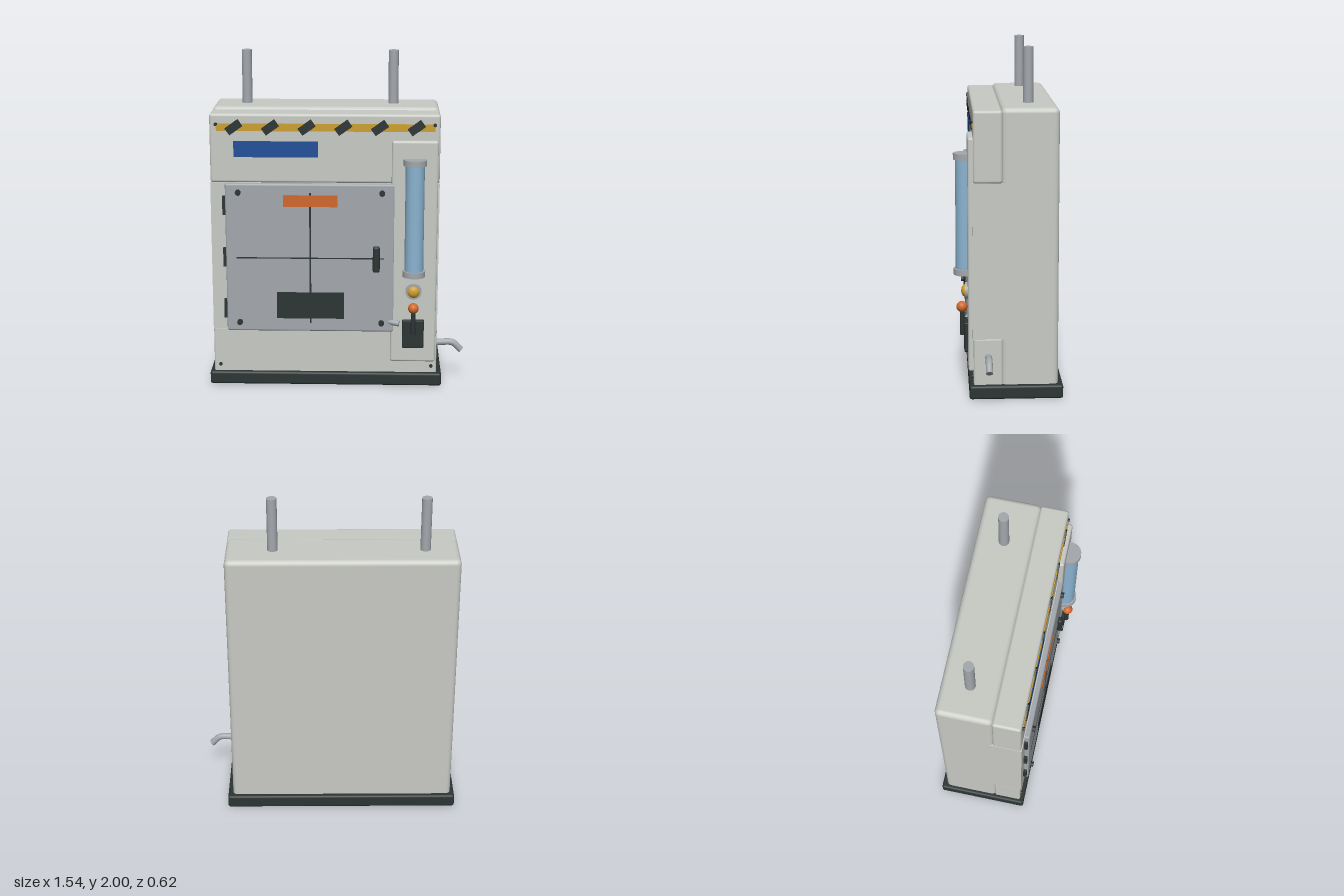
import * as THREE from 'three';
import { RoundedBoxGeometry } from 'three/addons/geometries/RoundedBoxGeometry.js';

const material = (name, color) => {
  const m = new THREE.MeshStandardMaterial({ color });
  m.name = name;
  return m;
};

export function createModel() {
  const model = new THREE.Group();
  model.name = 'boilerCabinet';

  const enamel = material('palePaint', 0xc8cac4);
  const steel = material('steel', 0xa3a8ad);
  const dark = material('darkRubber', 0x2c3534);
  const yellow = material('warningYellow', 0xcc9f30);
  const blue = material('labelBlue', 0x1f4f98);
  const orange = material('orange', 0xd0692b);
  const glass = material('gaugeBlue', 0x8ab3d0);

  const add = (name, geometry, mat, x = 0, y = 0, z = 0) => {
    const mesh = new THREE.Mesh(geometry, mat);
    mesh.name = name;
    mesh.position.set(x, y, z);
    model.add(mesh);
    return mesh;
  };
  // Box given by its limits; r > 0 rounds the edges
  const box = (name, mat, [x0, x1], [y0, y1], [z0, z1], r = 0) => {
    const s = [x1 - x0, y1 - y0, z1 - z0];
    const g = r ? new RoundedBoxGeometry(...s, 3, r) : new THREE.BoxGeometry(...s);
    return add(name, g, mat, (x0 + x1) / 2, (y0 + y1) / 2, (z0 + z1) / 2);
  };
  const rod = (name, mat, r, h, x, y, z, sides = 32) =>
    add(name, new THREE.CylinderGeometry(r, r, h, sides), mat, x, y, z);
  // Disc facing the front
  const stud = (name, mat, r, h, x, y, z, sides = 16) => {
    const mesh = rod(name, mat, r, h, x, y, z, sides);
    mesh.rotation.x = Math.PI / 2;
    return mesh;
  };
  const pipe = (name, points, r) => {
    const curve = new THREE.CatmullRomCurve3(points.map(p => new THREE.Vector3(...p)));
    add(name, new THREE.TubeGeometry(curve, 24, r, 16), steel);
    // End cap
    const cap = add(name + 'End', new THREE.CircleGeometry(r, 16), steel, ...points[points.length - 1]);
    cap.quaternion.setFromUnitVectors(new THREE.Vector3(0, 0, 1), curve.getTangent(1));
  };

  // Plinth and cabinet shell
  box('plinth', dark, [-0.775, 0.63], [0, 0.08], [-0.315, 0.225], 0.014);
  box('rearTank', enamel, [-0.75, 0.6], [0.03, 1.68], [-0.287, 0.04], 0.03);
  box('upperFront', enamel, [-0.75, 0.6], [1.255, 1.666], [0.034, 0.2], 0.016);
  box('middleFront', enamel, [-0.75, 0.6], [0.35, 1.257], [0, 0.205]);
  box('lowerFront', enamel, [-0.75, 0.6], [0.04, 0.355], [0.034, 0.2], 0.012);

  // Flue and supply pipes on the roof
  for (const x of [-0.553, 0.327]) rod('roofPipe', steel, 0.03, 0.36, x, 1.82, -0.125);

  // Hazard strip
  box('hazardStrip', yellow, [-0.71, 0.57], [1.565, 1.61], [0.198, 0.205]);
  for (let i = 0; i < 6; i++) {
    const bar = add('hazardBar', new THREE.BoxGeometry(0.095, 0.05, 0.008), dark, -0.607 + i * 0.2135, 1.588, 0.205);
    bar.rotation.z = 0.62;
  }
  box('blueLabel', blue, [-0.61, -0.115], [1.41, 1.505], [0.198, 0.205]);
  for (const x of [-0.712, 0.567])
    for (const y of [0.122, 1.605]) stud('cabinetScrew', dark, 0.01, 0.02, x, y, 0.201);

  // Door with hinges, bolts, seams and labels
  box('door', steel, [-0.663, 0.338], [0.347, 1.257], [0.198, 0.234], 0.012);
  for (const y of [0.485, 0.805, 1.122])
    box('hinge', dark, [-0.68, -0.658], [y - 0.057, y + 0.057], [0.195, 0.226]);
  for (const x of [-0.585, 0.263])
    for (const y of [0.405, 1.205]) stud('doorBolt', dark, 0.017, 0.024, x, y, 0.24);
  box('verticalSeam', dark, [-0.166, -0.156], [0.4, 1.205], [0.23, 0.236]);
  box('horizontalSeam', dark, [-0.6, 0.278], [0.802, 0.809], [0.23, 0.236]);
  box('orangeLabel', orange, [-0.32, 0], [1.12, 1.19], [0.23, 0.239]);
  box('ratingPlate', dark, [-0.362, 0.04], [0.43, 0.593], [0.23, 0.239]);
  box('doorHandle', dark, [0.21, 0.252], [0.724, 0.885], [0.23, 0.262], 0.014);

  // Control panel
  const px = 0.454;
  box('controlPanel', enamel, [0.318, 0.59], [0.157, 1.515], [0.19, 0.23], 0.014);

  // Sight gauge
  rod('gaugeTube', glass, 0.056, 0.65, px, 1.055, 0.242);
  for (const y of [0.721, 1.392]) rod('gaugeCap', steel, 0.068, 0.036, px, y, 0.242);

  // Push button
  stud('buttonRing', steel, 0.048, 0.02, px, 0.604, 0.236, 32);
  const dome = add('button', new THREE.SphereGeometry(0.036, 24, 12), yellow, px, 0.604, 0.244);
  dome.scale.z = 0.65;

  // Lever
  box('leverPlate', dark, [0.389, 0.519], [0.252, 0.427], [0.22, 0.252], 0.006);
  rod('leverStick', dark, 0.014, 0.16, px, 0.42, 0.262, 16);
  add('leverKnob', new THREE.SphereGeometry(0.032, 24, 16), orange, px, 0.508, 0.264);

  // Outlet nozzle beside the door and drain spout on the side
  pipe('nozzle', [[0.3, 0.41, 0.215], [0.335, 0.407, 0.228], [0.37, 0.402, 0.237]], 0.018);
  pipe('drainSpout', [[0.58, 0.242, 0.115], [0.64, 0.247, 0.115], [0.7, 0.244, 0.115], [0.752, 0.197, 0.115]], 0.02);

  return model;
}
